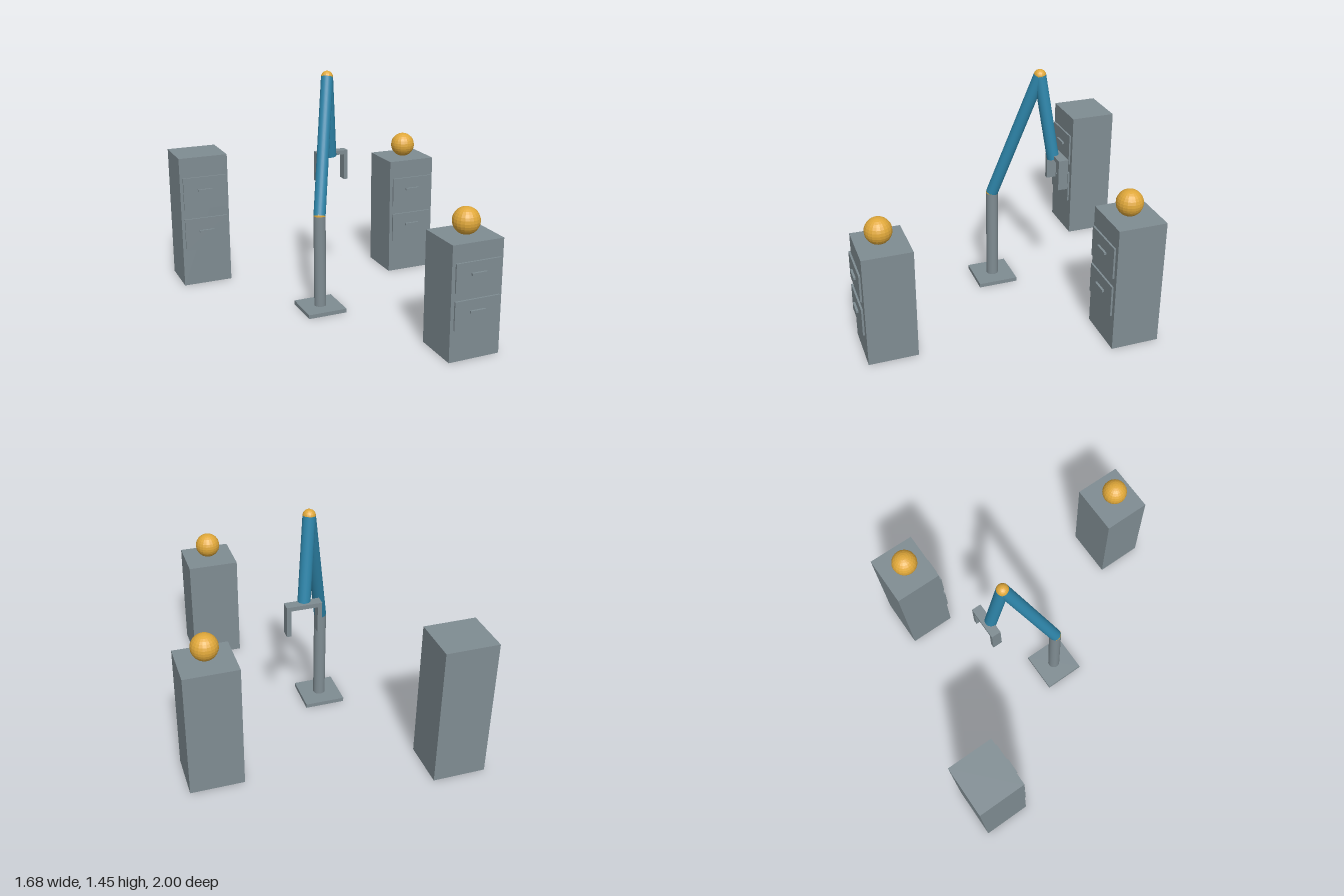
import * as THREE from 'three';

const material = (name, color, extra = {}) => {
  const m = new THREE.MeshStandardMaterial({ color, ...extra });
  m.name = name;
  return m;
};

export function createModel() {
  const grey = material('steelGrey', 0x7f8c92);
  const blue = material('armBlue', 0x2e86ab);
  const gold = material('gold', 0xe0a83a, { flatShading: true });
  const model = new THREE.Group();
  model.name = 'robotArmWithCabinets';

  const add = (parent, name, geometry, mat, x, y, z) => {
    const mesh = new THREE.Mesh(geometry, mat);
    mesh.name = name;
    mesh.position.set(x, y, z);
    parent.add(mesh);
    return mesh;
  };
  const box = (parent, name, w, h, d, x, y, z) =>
    add(parent, name, new THREE.BoxGeometry(w, h, d), grey, x, y, z);
  const ball = (parent, name, r, x, y, z) =>
    add(parent, name, new THREE.SphereGeometry(r, 20, 14), gold, x, y, z);
  const rod = (parent, name, mat, r, a, b) => {
    const dir = b.clone().sub(a);
    const mid = a.clone().add(b).multiplyScalar(0.5);
    const mesh = add(parent, name, new THREE.CylinderGeometry(r, r, dir.length(), 24), mat, mid.x, mid.y, mid.z);
    mesh.quaternion.setFromUnitVectors(new THREE.Vector3(0, 1, 0), dir.normalize());
  };

  // Cabinets with two drawers each; z is the front face of the body
  const cabinet = (name, x, z, h, hasBall) => {
    const g = new THREE.Group();
    g.name = name;
    g.position.set(x, 0, z);
    model.add(g);
    box(g, 'cabinetBody', 0.32, h, 0.293, 0, h / 2, -0.1465);
    for (const level of [0.407, 0.727]) {
      box(g, 'drawerFront', 0.283, h * 0.246, 0.011, 0, h * level, 0.0105);
      box(g, 'drawerHandle', 0.096, 0.014, 0.014, 0, h * (level + 0.021), 0.022);
    }
    if (hasBall) ball(g, 'ball', 0.079, 0, h + 0.079, -0.135);
  };
  cabinet('backCabinet', -0.68, -0.707, 0.87, false);
  cabinet('frontCabinet', 0.363, 0.971, 0.686, true);
  cabinet('sideCabinet', 0.68, -0.395, 0.78, true);

  // Arm: base, post, two links and their joints
  const arm = new THREE.Group();
  arm.name = 'robotArm';
  model.add(arm);
  const r = 0.0375;
  const shoulder = new THREE.Vector3(-0.158, 0.611, 0);
  const elbow = new THREE.Vector3(0, 1.412, -0.247);
  const wrist = new THREE.Vector3(0.053, 0.892, -0.322);
  box(arm, 'basePlate', 0.25, 0.025, 0.25, shoulder.x, 0.0125, 0);
  rod(arm, 'post', grey, r, new THREE.Vector3(shoulder.x, 0.02, 0), shoulder);
  rod(arm, 'upperArm', blue, r, shoulder, elbow);
  rod(arm, 'forearm', blue, r, elbow, wrist);
  ball(arm, 'shoulderJoint', r, ...shoulder.toArray());
  ball(arm, 'elbowJoint', r, ...elbow.toArray());

  // Gripper
  const gripper = new THREE.Group();
  gripper.name = 'gripper';
  gripper.position.set(0.064, 0, -0.343);
  arm.add(gripper);
  box(gripper, 'palm', 0.21, 0.026, 0.06, 0, 0.906, 0);
  for (const side of [-1, 1])
    box(gripper, 'finger', 0.026, 0.166, 0.06, side * 0.092, 0.81, 0);

  return model;
}
